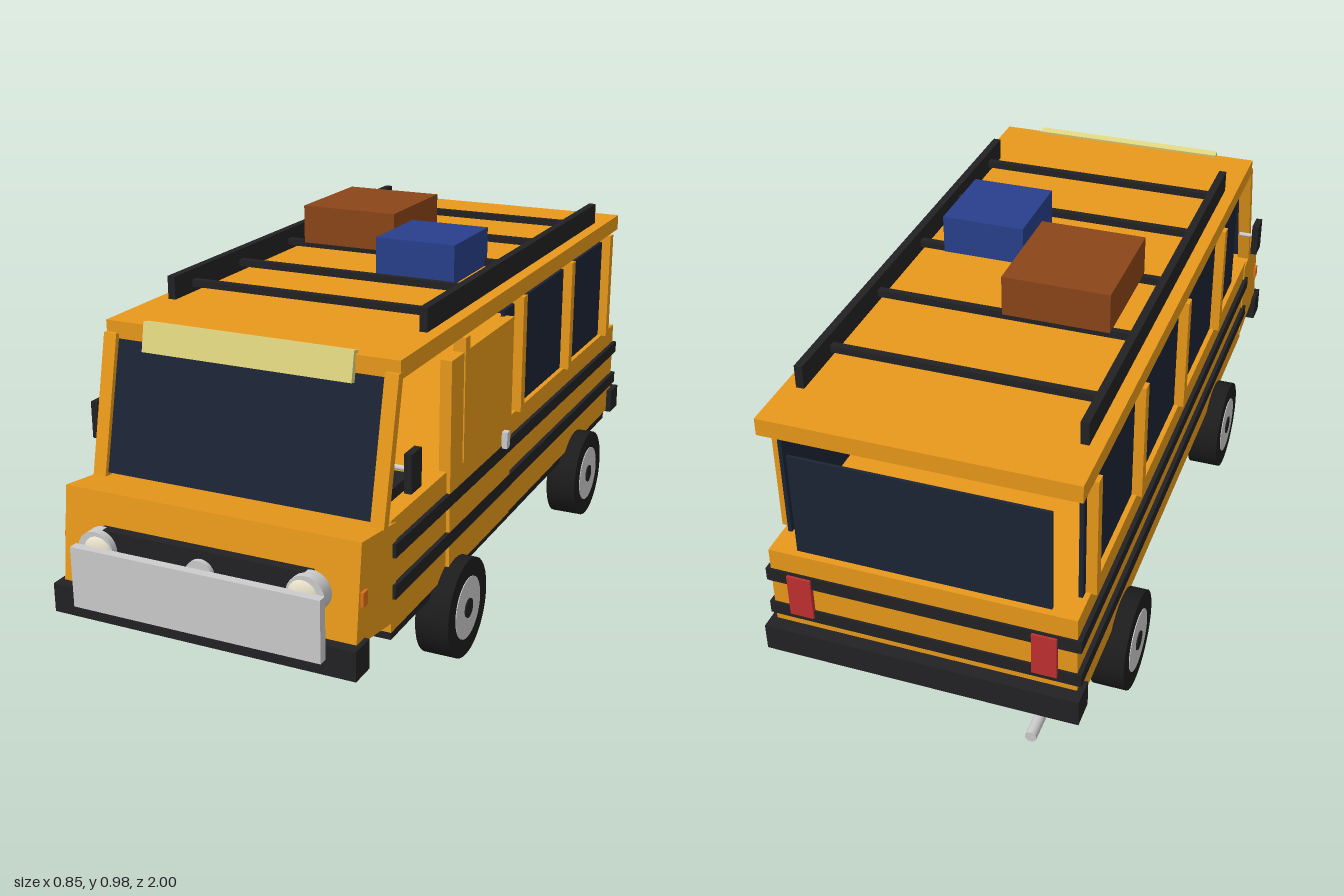
import * as THREE from 'three';

const mat = (color) => new THREE.MeshStandardMaterial({ color });

export function createModel() {
  const van = new THREE.Group();
  const paint = mat(0xe8991a), black = mat(0x222224), rubber = mat(0x1c1c1c), glass = mat(0x1b2436);
  const silver = mat(0xcccccc), cream = mat(0xe8e0c8), red = mat(0xc03030), amber = mat(0xe07018);
  const visorMat = mat(0xe0d680), brown = mat(0x8b4518), blue = mat(0x283f8c);

  const add = (name, geometry, material, x = 0, y = 0, z = 0) => {
    const mesh = new THREE.Mesh(geometry, material);
    mesh.name = name;
    mesh.position.set(x, y, z);
    van.add(mesh);
    return mesh;
  };
  // box given by its [min, max] along each axis
  const box = (name, material, [x0, x1], [y0, y1], [z0, z1]) =>
    add(name, new THREE.BoxGeometry(x1 - x0, y1 - y0, z1 - z0), material,
      (x0 + x1) / 2, (y0 + y1) / 2, (z0 + z1) / 2);
  const cylinder = (name, material, r, length, axis, x, y, z, sides = 32) => {
    const g = new THREE.CylinderGeometry(r, r, length, sides);
    if (axis === 'x') g.rotateZ(Math.PI / 2); else g.rotateX(Math.PI / 2);
    return add(name, g, material, x, y, z);
  };
  // side profile of [z, y] points, extruded across x
  const profile = (name, material, points, x0, x1) => {
    const shape = new THREE.Shape(points.map(([z, y]) => new THREE.Vector2(-z, y)));
    const g = new THREE.ExtrudeGeometry(shape, { depth: x1 - x0, bevelEnabled: false });
    g.rotateY(Math.PI / 2);
    return add(name, g, material, x0);
  };

  // lower body, sloped nose, chassis and roof
  box('lowerBody', paint, [-0.375, 0.375], [0.22, 0.495], [-0.93, 0.76]);
  profile('nose', paint, [[0.74, 0.243], [0.945, 0.275], [0.915, 0.508], [0.74, 0.485]], -0.378, 0.378);
  box('chassis', black, [-0.365, 0.365], [0.19, 0.222], [-0.9, 0.74]);
  box('roof', paint, [-0.378, 0.378], [0.808, 0.852], [-0.912, 0.72]);
  box('dashboard', black, [-0.33, 0.33], [0.49, 0.523], [0.55, 0.73]);

  // bumpers
  box('frontBumper', black, [-0.39, 0.39], [0.208, 0.28], [0.905, 0.972]);
  box('rearBumper', black, [-0.39, 0.39], [0.215, 0.285], [-0.965, -0.895]);

  // stripes along both sides and the back
  for (const y of [0.322, 0.423]) {
    for (const s of [-1, 1]) {
      add('sideStripe', new THREE.BoxGeometry(0.02, 0.034, 1.695), black, s * 0.376, y, -0.0875);
    }
    add('rearStripe', new THREE.BoxGeometry(0.76, 0.034, 0.01), black, 0, y, -0.931);
  }

  // windscreen between slanted pillars
  profile('windscreen', glass, [[0.795, 0.5], [0.72, 0.81], [0.71, 0.81], [0.785, 0.5]], -0.345, 0.345);
  for (const s of [-1, 1]) {
    const x = s * 0.362;
    profile('windscreenPillar', paint,
      [[0.808, 0.49], [0.73, 0.824], [0.706, 0.824], [0.784, 0.49]], x - 0.017, x + 0.017);
    // window pillars
    for (const z of [0.355, -0.048, -0.45, -0.82]) {
      add('windowPillar', new THREE.BoxGeometry(0.032, 0.315, 0.028), paint, s * 0.372, 0.65, z);
    }
  }
  const visor = add('sunVisor', new THREE.BoxGeometry(0.54, 0.072, 0.022), visorMat, 0, 0.825, 0.722);
  visor.rotation.x = -0.2;

  // side and rear glass
  box('leftGlass', glass, [0.352, 0.362], [0.49, 0.788], [-0.855, 0.04]);
  box('rightGlass', glass, [-0.362, -0.352], [0.49, 0.788], [-0.855, 0.62]);
  box('rearGlass', glass, [-0.31, 0.31], [0.49, 0.765], [-0.912, -0.904]);

  // side door and handle
  box('door', paint, [0.355, 0.3845], [0.228, 0.772], [0.028, 0.445]);
  box('doorHandle', silver, [0.384, 0.4], [0.435, 0.48], [0.077, 0.097]);

  // front panel, lamps and round badge plate
  box('grilleBacking', black, [-0.27, 0.27], [0.29, 0.43], [0.92, 0.95]);
  box('frontPanel', silver, [-0.318, 0.318], [0.246, 0.396], [0.972, 0.995]);
  cylinder('centreDisc', silver, 0.035, 0.02, 'z', 0, 0.375, 0.952);
  for (const s of [-1, 1]) {
    cylinder('headlightRing', silver, 0.047, 0.035, 'z', s * 0.268, 0.384, 0.95);
    const lens = add('headlightLens', new THREE.SphereGeometry(0.04, 24, 16), cream, s * 0.262, 0.384, 0.96);
    lens.scale.z = 0.45;
    add('sideMarker', new THREE.BoxGeometry(0.014, 0.034, 0.022), amber, s * 0.378, 0.378, 0.912);
    add('tailLight', new THREE.BoxGeometry(0.06, 0.115, 0.016), red, s * 0.3, 0.378, -0.934);
    // door mirrors
    cylinder('mirrorArm', silver, 0.006, 0.05, 'x', s * 0.382, 0.607, 0.72, 10);
    add('mirror', new THREE.BoxGeometry(0.018, 0.092, 0.056), black, s * 0.408, 0.606, 0.72);
  }

  // roof rack and luggage
  for (const s of [-1, 1]) {
    add('rackRail', new THREE.BoxGeometry(0.02, 0.06, 1.275), black, s * 0.336, 0.88, -0.135);
  }
  for (const z of [0.413, 0.18, -0.088, -0.358, -0.625]) {
    add('rackBar', new THREE.BoxGeometry(0.67, 0.018, 0.018), black, 0, 0.875, z);
  }
  box('brownLuggage', brown, [-0.27, 0], [0.88, 0.983], [-0.37, -0.072]);
  box('blueLuggage', blue, [0.042, 0.258], [0.866, 0.966], [-0.1, 0.13]);

  // wheels, with rims showing on both faces
  for (const z of [0.405, -0.57]) {
    for (const s of [-1, 1]) {
      cylinder('tyre', rubber, 0.127, 0.086, 'x', s * 0.377, 0.128, z);
      cylinder('rim', silver, 0.08, 0.09, 'x', s * 0.377, 0.128, z);
      cylinder('hubCap', black, 0.025, 0.096, 'x', s * 0.377, 0.128, z, 20);
    }
  }

  cylinder('exhaustPipe', silver, 0.014, 0.12, 'z', -0.288, 0.178, -0.94, 16);
  return van;
}
